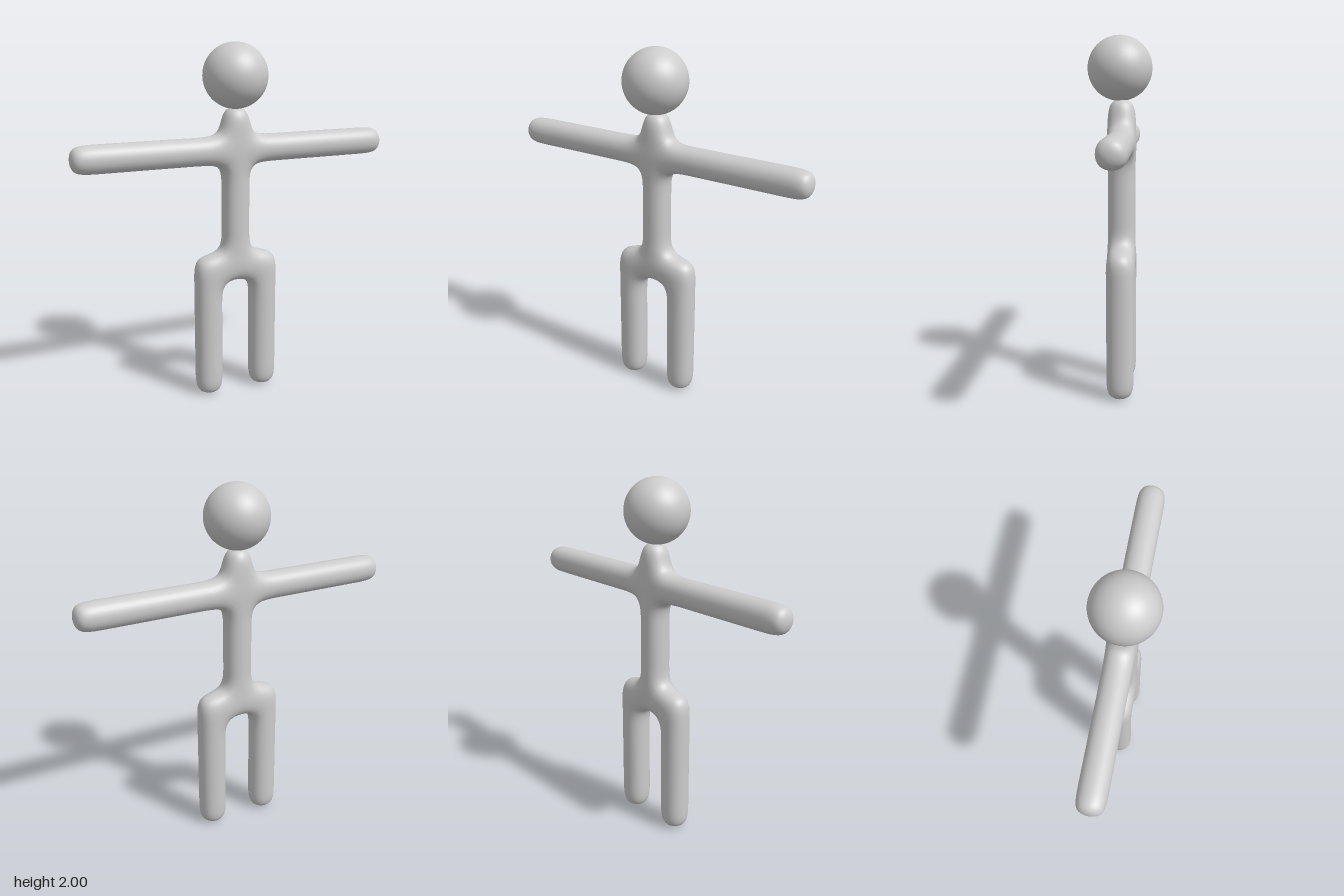
import * as THREE from 'three';

const A = 0.083;                 // half thickness of the limbs' control cage
const ZC = -0.008;               // depth of the body's middle plane
const LEVELS = 3;

// Control cage: flat rectangular cells, extruded in z into a closed quad mesh
function buildCage() {
  const cells = [];
  const column = (x0, x1, ys) => {
    for (let i = 0; i + 1 < ys.length; i++) cells.push([x0, x1, ys[i], ys[i + 1]]);
  };
  // hips, torso and neck
  column(-A, A, [0.675, 0.84, 0.97, 1.22, 1.34, 1.505, 1.67]);
  for (const side of [-1, 1]) {
    const put = (x0, x1, ys) => (side > 0 ? column(x0, x1, ys) : column(-x1, -x0, ys));
    // leg
    put(A, 0.252, [-0.01, 0.12, 0.55, 0.675, 0.84]);
    // arm
    const xs = [A, 0.22, 0.8, 0.92];
    for (let i = 0; i < 3; i++) put(xs[i], xs[i + 1], [1.34, 1.505]);
  }

  const verts = [], faces = [], ids = new Map(), edges = new Map();
  const vertex = (x, y, z) => {
    const key = `${x},${y},${z}`;
    if (!ids.has(key)) {
      ids.set(key, verts.length);
      verts.push(new THREE.Vector3(x, y, ZC + z));
    }
    return ids.get(key);
  };
  for (const [x0, x1, y0, y1] of cells) {
    const ring = [[x0, y0], [x1, y0], [x1, y1], [x0, y1]];
    faces.push(ring.map(([x, y]) => vertex(x, y, A)));
    faces.push(ring.map(([x, y]) => vertex(x, y, -A)).reverse());
    ring.forEach((p, i) => {
      const q = ring[(i + 1) % 4];
      if (!edges.delete(`${q}|${p}`)) edges.set(`${p}|${q}`, [p, q]);
    });
  }
  // side walls along the outline
  for (const [p, q] of edges.values()) {
    faces.push([vertex(...p, -A), vertex(...q, -A), vertex(...q, A), vertex(...p, A)]);
  }
  return { verts, faces };
}

// One Catmull-Clark step on a closed quad mesh
function subdivide({ verts, faces }) {
  const average = (list) =>
    list.reduce((sum, v) => sum.add(v), new THREE.Vector3()).divideScalar(list.length);
  const facePoints = faces.map((f) => average(f.map((i) => verts[i])));
  const edges = new Map();
  const around = verts.map(() => ({ faces: [], mids: [] }));
  const edgeKey = (a, b) => (a < b ? `${a}_${b}` : `${b}_${a}`);
  faces.forEach((f, fi) => f.forEach((a, k) => {
    const b = f[(k + 1) % 4], key = edgeKey(a, b);
    if (!edges.has(key)) edges.set(key, { a, b, sides: [] });
    edges.get(key).sides.push(facePoints[fi]);
    around[a].faces.push(facePoints[fi]);
  }));
  for (const { a, b } of edges.values()) {
    const mid = average([verts[a], verts[b]]);
    around[a].mids.push(mid);
    around[b].mids.push(mid);
  }
  const out = verts.map((v, i) => {
    const n = around[i].mids.length;
    return average(around[i].faces)
      .addScaledVector(average(around[i].mids), 2)
      .addScaledVector(v, n - 3)
      .divideScalar(n);
  });
  const faceStart = out.length;
  out.push(...facePoints);
  for (const e of edges.values()) {
    e.id = out.length;
    out.push(average([verts[e.a], verts[e.b], ...e.sides]));
  }
  const quads = [];
  faces.forEach((f, fi) => f.forEach((a, k) => {
    const next = edges.get(edgeKey(a, f[(k + 1) % 4])).id;
    const prev = edges.get(edgeKey(f[(k + 3) % 4], a)).id;
    quads.push([a, next, faceStart + fi, prev]);
  }));
  return { verts: out, faces: quads };
}

function smoothBody() {
  let mesh = buildCage();
  for (let i = 0; i < LEVELS; i++) mesh = subdivide(mesh);
  const geometry = new THREE.BufferGeometry().setFromPoints(mesh.verts);
  geometry.setIndex(mesh.faces.flatMap(([a, b, c, d]) => [a, b, c, a, c, d]));
  geometry.computeVertexNormals();
  return geometry;
}

export function createModel() {
  const grey = new THREE.MeshStandardMaterial({ color: 0xcccccc });
  grey.name = 'light grey';
  const model = new THREE.Group();
  model.name = 'stickFigure';

  // torso, neck, arms and legs in one smooth skin
  const body = new THREE.Mesh(smoothBody(), grey);
  body.name = 'body';

  // round head resting on the neck
  const head = new THREE.Mesh(new THREE.SphereGeometry(0.177, 48, 32), grey);
  head.name = 'head';
  head.position.set(-0.004, 1.823, 0.002);

  model.add(body, head);
  return model;
}
